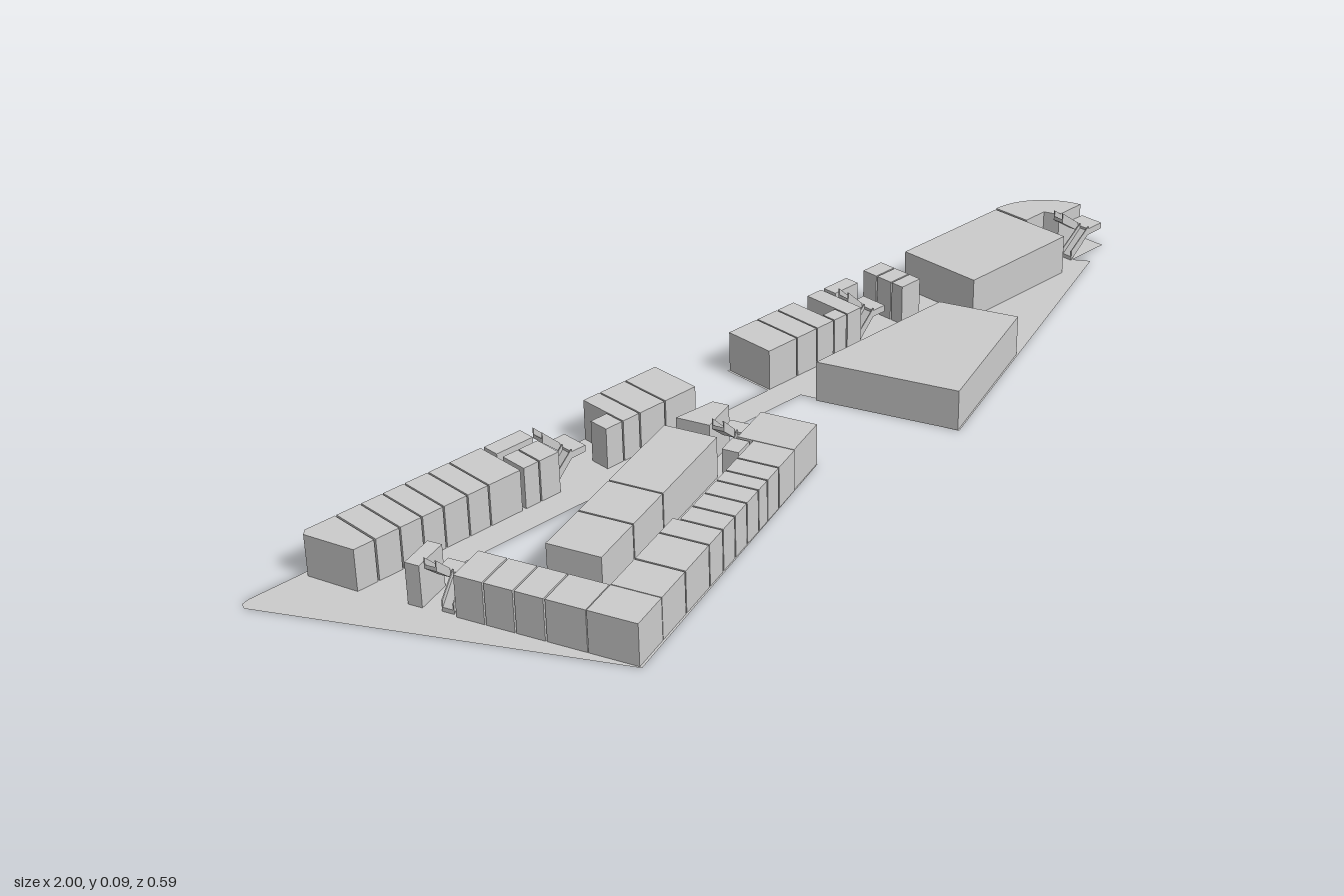
import * as THREE from 'three';

const H = 0.08; // room height
const mat = new THREE.MeshStandardMaterial({ color: 0xcccccc, side: THREE.DoubleSide });

// plan outline in [x, z] pairs -> Shape lying in the ground plane
const plan = pts => new THREE.Shape(pts.map(([x, z]) => new THREE.Vector2(x, -z)));

function add(parent, name, geo) {
  const mesh = new THREE.Mesh(geo, mat);
  mesh.name = name;
  parent.add(mesh);
  return mesh;
}

// solid room from a plan outline
function prism(parent, name, pts, h = H) {
  const geo = new THREE.ExtrudeGeometry(plan(pts), { depth: h, bevelEnabled: false });
  return add(parent, name, geo.rotateX(-Math.PI / 2));
}

const rect = (x0, x1, z0, z1) => [[x0, z0], [x1, z0], [x1, z1], [x0, z1]];
const G = 0.0015; // half gap between neighbouring rooms

// row of rooms between successive x cuts
function rowX(parent, name, cuts, z0, z1) {
  for (let i = 0; i < cuts.length - 1; i++)
    prism(parent, name, rect(cuts[i] + G, cuts[i + 1] - G, z0, z1));
}

// column of rooms between successive z cuts
function rowZ(parent, name, cuts, x0, x1) {
  for (let i = 0; i < cuts.length - 1; i++)
    prism(parent, name, rect(x0, x1, cuts[i] + G, cuts[i + 1] - G));
}

// two flights joined by a half-height landing at +x, footprint len by width
function escalator(parent, x, z, len, width) {
  const g = new THREE.Group();
  g.name = 'escalator';
  g.position.set(x, 0, z);
  parent.add(g);
  const mid = 0.045, land = len * 0.55, w = width / 2 - 0.002;
  const slab = (name, pts, depth, zz) => {
    const s = new THREE.Shape(pts.map(p => new THREE.Vector2(...p)));
    add(g, name, new THREE.ExtrudeGeometry(s, { depth, bevelEnabled: false })).position.z = zz;
  };
  slab('landing', [[land, mid - 0.005], [len, mid - 0.005], [len, mid + 0.008], [land, mid + 0.008]], width, 0);
  [[0, H, 0], [0, 0.006, width / 2 + 0.002]].forEach(([x0, y0, z0]) => {
    slab('flight', [[x0, y0 - 0.006], [land, mid - 0.005], [land, mid + 0.003], [x0, y0 + 0.002]], w, z0);
    [0, w - 0.002].forEach(dz =>
      slab('handrail', [[x0, y0], [land, mid], [land, mid + 0.013], [x0, y0 + 0.015]], 0.002, z0 + dz));
  });
}

export function createModel() {
  const model = new THREE.Group();
  model.name = 'terminalPlan';

  // floor slab with bridge and triangular courtyard
  const floor = plan([
    [-1, -0.28], [-0.995, -0.293], [-0.98, -0.297], [-0.09, -0.297], [-0.09, -0.19], [0.09, -0.19],
    [0.09, -0.297], [0.85, -0.297], [0.91, -0.28], [0.96, -0.245], [0.985, -0.195], [1, -0.18], [1, -0.135],
    [0.905, -0.135], [0.925, -0.105], [0.225, 0.16], [0.12, -0.135], [-0.105, -0.135],
    [-0.035, 0.06], [-0.665, 0.295]]);
  floor.holes.push(new THREE.Path(
    [[-0.675, -0.135], [-0.225, -0.135], [-0.62, 0.015]].map(([x, z]) => new THREE.Vector2(x, -z))));
  add(model, 'floor', new THREE.ShapeGeometry(floor).rotateX(-Math.PI / 2));

  // back left row
  const back = -0.295, front = -0.19;
  prism(model, 'endRoom', [[-0.872, -0.285], [-0.862, back], [-0.802, back], [-0.802, front], [-0.843, front]]);
  rowX(model, 'backLeftRoom', [-0.8, -0.75, -0.705, -0.66, -0.61, -0.565, -0.495], back, front);
  rowZ(model, 'smallRoom', [back, -0.258], -0.49, -0.41);
  rowX(model, 'smallRoom', [-0.49, -0.455, -0.41], -0.245, front);
  escalator(model, -0.405, -0.265, 0.07, 0.055);
  rowX(model, 'smallRoom', [-0.305, -0.265], -0.23, front);
  rowX(model, 'backLeftRoom', [-0.265, -0.225, -0.165, -0.09], back, front);

  // back right row
  rowX(model, 'backRightRoom', [0.093, 0.167, 0.22, 0.265], back, front);
  rowX(model, 'smallRoom', [0.265, 0.3], -0.22, front);
  rowX(model, 'backRightRoom', [0.3, 0.34], back, front);
  rowX(model, 'smallRoom', [0.345, 0.41], back, -0.265);
  escalator(model, 0.345, -0.255, 0.07, 0.055);
  rowZ(model, 'smallRoom', [back, -0.258, -0.22, front], 0.455, 0.505);

  // large halls
  prism(model, 'mainHall', rect(0.573, 0.845, -0.292, -0.113));
  prism(model, 'wedgeHall', [[0.125, -0.1], [0.46, -0.1], [0.517, 0.046], [0.225, 0.157]]);

  // rounded end room, its outer wall following a curve
  const curve = new THREE.CubicBezierCurve(
    new THREE.Vector2(0.85, -0.295), new THREE.Vector2(0.925, -0.295),
    new THREE.Vector2(0.975, -0.235), new THREE.Vector2(0.985, -0.185));
  prism(model, 'roundedRoom', [
    ...curve.getPoints(14).map(p => [p.x, p.y]), [0.917, -0.185], [0.905, -0.215], [0.85, -0.215]]);
  escalator(model, 0.9, -0.185, 0.092, 0.05);

  // angled wing: local +x runs along its front edge, local -z goes inward
  const wing = new THREE.Group();
  wing.name = 'angledWing';
  wing.position.set(-0.665, 0, 0.29);
  wing.rotation.y = 0.35;
  model.add(wing);

  // front row and corner
  prism(wing, 'cornerRoom', [[0, 0], [0.078, 0], [0.078, -0.09], [0, -0.09]]);
  rowX(wing, 'frontRoom', [0.078, 0.16, 0.245, 0.295], -0.09, 0);
  rowX(wing, 'frontRoom', [0.295, 0.34, 0.385, 0.43, 0.465, 0.51, 0.575], -0.078, 0);

  // side column
  rowZ(wing, 'sideRoom', [-0.33, -0.275, -0.22, -0.165, -0.09], 0, 0.078);
  escalator(wing, 0.005, -0.385, 0.07, 0.05);
  rowZ(wing, 'smallRoom', [-0.42, -0.39], 0, 0.07);

  // central block beside the courtyard
  rowX(wing, 'centralRoom', [0.14, 0.25, 0.355, 0.56], -0.242, -0.14);

  // right end column
  rowZ(wing, 'endRoom', [-0.11, 0], 0.575, 0.67);
  rowX(wing, 'smallRoom', [0.525, 0.57], -0.115, -0.083);
  escalator(wing, 0.59, -0.165, 0.075, 0.05);
  prism(wing, 'endRoom', [[0.59, -0.17], [0.668, -0.17], [0.668, -0.202], [0.59, -0.235]]);

  return model;
}
